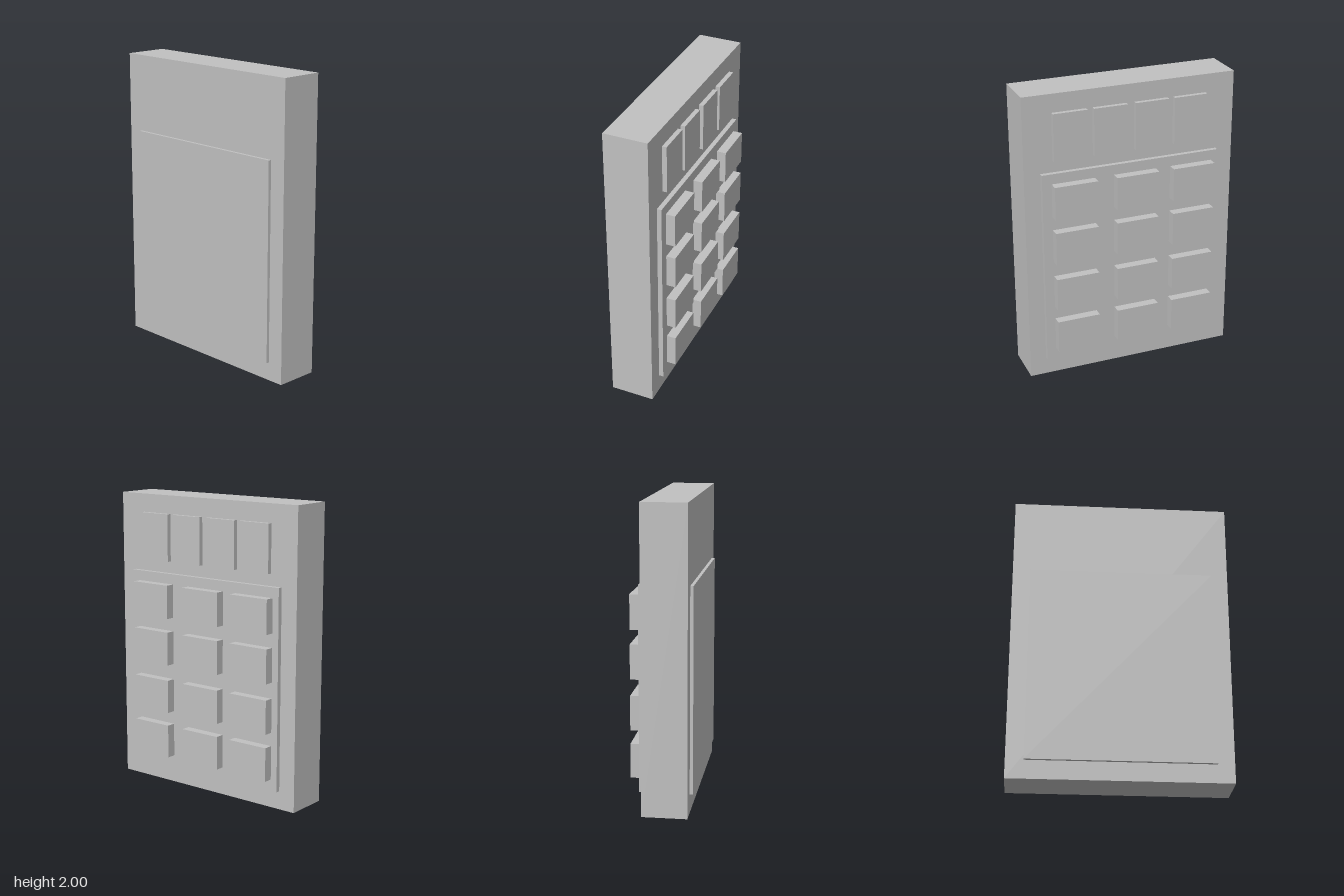
import * as THREE from 'three';

const grey = new THREE.MeshStandardMaterial({ color: 0xc0c0c0 });
grey.name = 'grey';

// Box given by its [min, max] range on each axis
function block(name, [x0, x1], [y0, y1], [z0, z1]) {
  const mesh = new THREE.Mesh(new THREE.BoxGeometry(x1 - x0, y1 - y0, z1 - z0), grey);
  mesh.position.set((x0 + x1) / 2, (y0 + y1) / 2, (z0 + z1) / 2);
  mesh.name = name;
  return mesh;
}

export function createModel() {
  const model = new THREE.Group();
  model.name = 'keypad';

  // Housing, and the key panel that runs through it to the back
  model.add(block('housing', [-0.185, 0.112], [0, 2], [-0.73, 0.73]));
  model.add(block('keyPanel', [-0.206, 0.143], [0.125, 1.476], [-0.613, 0.619]));

  // Row of four display windows
  const display = new THREE.Group();
  display.name = 'display';
  for (const z of [0.419, 0.145, -0.141, -0.413]) {
    display.add(block('displayWindow', [0.112, 0.143], [1.556, 1.876], [z - 0.116, z + 0.116]));
  }
  model.add(display);

  // Keys in four rows of three
  const keys = new THREE.Group();
  keys.name = 'keys';
  for (const y of [1.293, 0.971, 0.636, 0.318]) {
    for (const z of [0.407, -0.019, -0.418]) {
      keys.add(block('key', [0.143, 0.206], [y - 0.114, y + 0.114], [z - 0.148, z + 0.148]));
    }
  }
  model.add(keys);

  return model;
}
